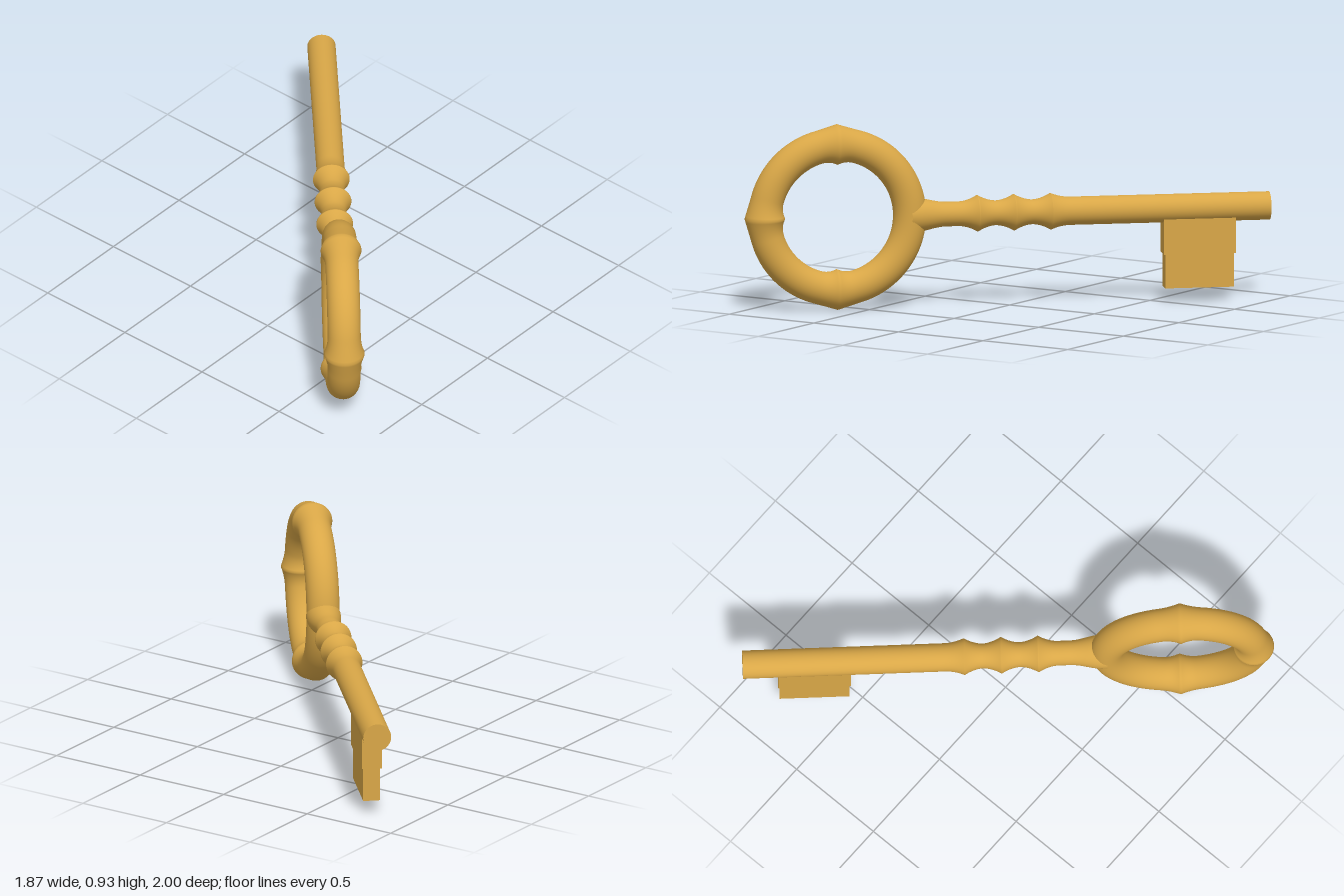
import * as THREE from 'three';
import { mergeVertices } from 'three/addons/utils/BufferGeometryUtils.js';

const AXIS_Y = 0.465;      // height of the shaft axis
const RING_X = 0.864;      // centre of the bow along the key
const RING_R = 0.3625;
const TUBE_R = 0.082;

// Concave flare rising to a ridge at distance 0
const flare = (d, width) => Math.max(0, 1 - Math.abs(d) / width) ** 2;

function weld(geometry) {
  geometry.deleteAttribute('uv');
  geometry.deleteAttribute('normal');
  const welded = mergeVertices(geometry, 1e-5);
  welded.computeVertexNormals();
  return welded;
}

// Torus whose tube swells into ridges at the top, bottom and far end
function bowGeometry() {
  const geo = new THREE.TorusGeometry(RING_R, TUBE_R, 40, 192);
  const p = geo.attributes.position;
  const ridges = [0, Math.PI / 2, -Math.PI / 2];
  const point = new THREE.Vector3(), centre = new THREE.Vector3();
  for (let i = 0; i < p.count; i++) {
    point.fromBufferAttribute(p, i);
    const a = Math.atan2(point.y, point.x);
    centre.set(Math.cos(a) * RING_R, Math.sin(a) * RING_R, 0);
    let r = TUBE_R;
    for (const b of ridges) r += 0.019 * flare((a - b) * RING_R, 0.1);
    point.sub(centre).multiplyScalar(r / TUBE_R).add(centre);
    p.setXYZ(i, point.x, point.y, point.z);
  }
  return weld(geo);
}

// Turned neck: three ridged collars, then a waist widening into the bow
function neckGeometry() {
  const collars = [-0.204, -0.021, 0.162];
  const start = collars[0] - 0.1, end = 0.5, steps = 96;
  const stations = Array.from({ length: steps + 1 }, (_, i) => start + (end - start) * i / steps);
  const xs = [...stations, ...collars].sort((a, b) => a - b);
  const profile = xs.map((x) => {
    let r = x < collars[0] ? 0.07 : 0.061;
    const peak = 0.091 - r;
    for (const c of collars) r += peak * flare(x - c, 0.1);
    r += 0.024 * THREE.MathUtils.smoothstep(x, 0.32, 0.48);
    return new THREE.Vector2(r, x);
  });
  return new THREE.LatheGeometry(profile, 48).rotateZ(-Math.PI / 2);
}

export function createModel() {
  const model = new THREE.Group();
  model.name = 'key';
  const gold = new THREE.MeshStandardMaterial({ color: 0xd9a747 });

  const add = (name, geometry, x, y) => {
    const mesh = new THREE.Mesh(geometry, gold);
    mesh.name = name;
    mesh.position.set(x, y, 0);
    model.add(mesh);
  };

  // Straight shaft with a flat tip
  const tip = -1.3, shaftEnd = -0.3;
  add('shaft', new THREE.CylinderGeometry(0.07, 0.07, shaftEnd - tip, 48).rotateZ(-Math.PI / 2),
    (tip + shaftEnd) / 2, AXIS_Y);
  add('neck', neckGeometry(), 0, AXIS_Y);
  add('bow', bowGeometry(), RING_X, AXIS_Y);

  // Stepped bit hanging below the shaft
  add('upperBit', new THREE.BoxGeometry(0.36, 0.2, 0.1), -0.945, 0.34);
  add('lowerBit', new THREE.BoxGeometry(0.345, 0.18, 0.085), -0.945, 0.16);

  // The key lies diagonally, bow towards front left
  model.rotation.y = -Math.atan2(0.732, 0.682);
  return model;
}
